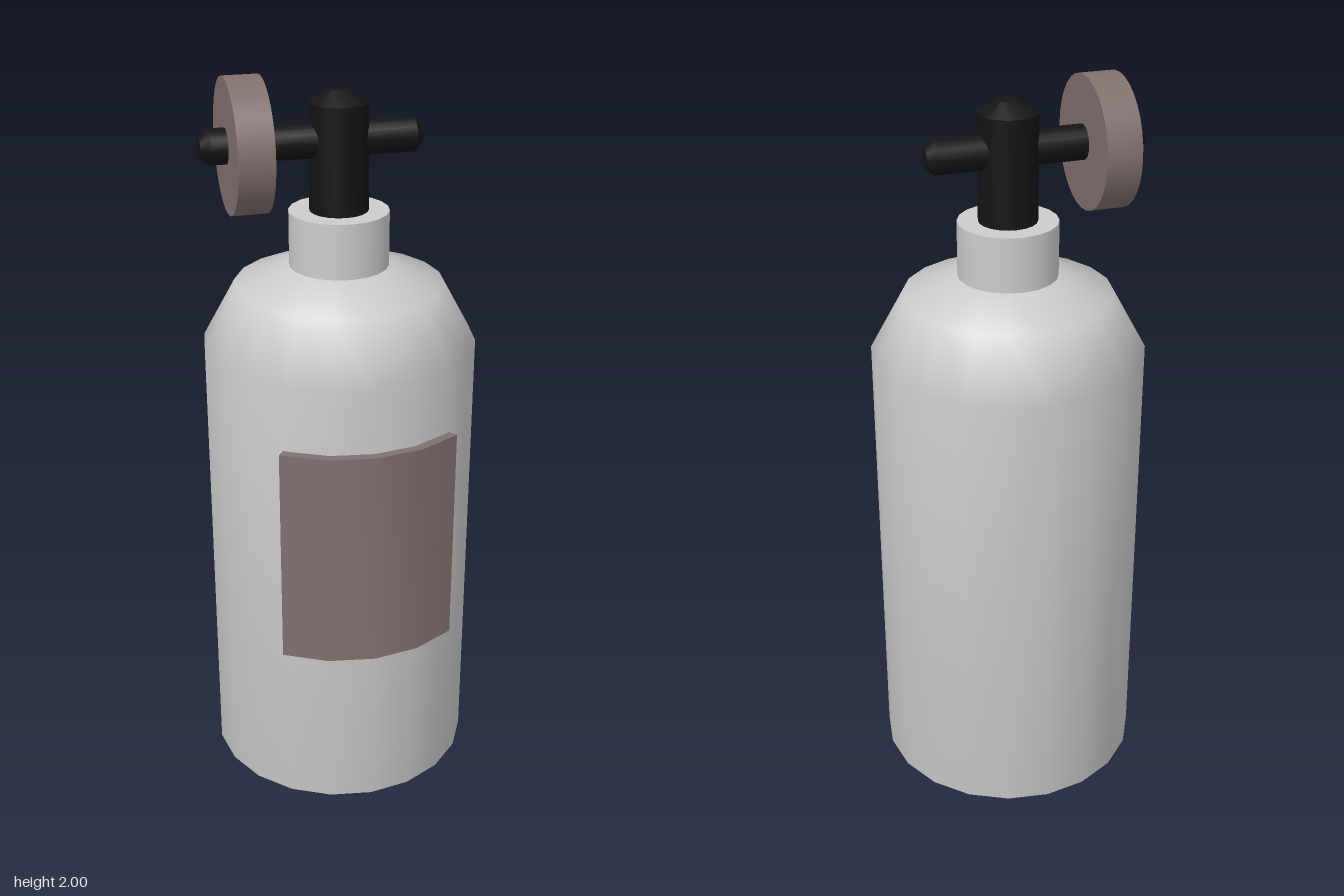
import * as THREE from 'three';
import { toCreasedNormals } from 'three/addons/utils/BufferGeometryUtils.js';

const AXIS_Z = -0.013; // the tank axis sits slightly behind the centre
const VALVE_Y = 1.835;

const grey = new THREE.MeshStandardMaterial({ color: 0xcccccc });
const black = new THREE.MeshStandardMaterial({ color: 0x141414 });
const brown = new THREE.MeshStandardMaterial({ color: 0x80706e });

// Turned part from [radius, height] pairs, listed bottom to top
function turned(profile, sides = 20) {
  return new THREE.LatheGeometry(profile.map(([r, y]) => new THREE.Vector2(r, y)), sides);
}

export function createModel() {
  const model = new THREE.Group();
  model.name = 'gasCylinder';
  const add = (name, geometry, material) => {
    const mesh = new THREE.Mesh(geometry, material);
    mesh.name = name;
    model.add(mesh);
    return mesh;
  };

  // Tank: smooth body with sloped shoulder and a flat base
  add('tankBody', turned([
    [0.2, 0], [0.355, 0.085], [0.355, 1.31], [0.27, 1.465], [0.128, 1.512],
  ]), grey);
  add('tankBase', new THREE.CircleGeometry(0.2, 20).rotateX(Math.PI / 2), grey);

  // Neck collar
  add('neck', new THREE.CylinderGeometry(0.128, 0.128, 0.165, 20).translate(0, 1.5725, 0), grey);

  // Valve stem with chamfered top
  add('valveStem', toCreasedNormals(turned([
    [0, 1.64], [0.075, 1.64], [0.075, 1.927], [0.024, 1.957], [0, 1.957],
  ]), 0.5), black);

  // Cross bar with chamfered ends, lying along x
  const bar = turned([
    [0, -0.348], [0.024, -0.348], [0.044, -0.325], [0.044, 0.19], [0.024, 0.21], [0, 0.21],
  ]).rotateZ(-Math.PI / 2).translate(0, VALVE_Y, 0);
  add('crossBar', toCreasedNormals(bar, 0.5), black);

  // Hand wheel
  const wheel = new THREE.CylinderGeometry(0.167, 0.167, 0.09, 32);
  wheel.rotateZ(Math.PI / 2).translate(-0.238, VALVE_Y - 0.002, 0);
  add('handWheel', wheel, brown);

  // Curved label plate wrapped round the front
  const arc = (radius) => [-2, -1, 0, 1, 2].map((i) => {
    const a = i * 0.325;
    return new THREE.Vector2(radius * Math.sin(a), -radius * Math.cos(a));
  });
  const outline = new THREE.Shape([...arc(0.38), ...arc(0.352).reverse()]);
  const plate = new THREE.ExtrudeGeometry(outline, { depth: 0.59, bevelEnabled: false });
  plate.rotateX(-Math.PI / 2).translate(0, 0.55, 0);
  add('labelPlate', toCreasedNormals(plate, 0.6), brown);

  model.children.forEach((part) => { part.position.z = AXIS_Z; });
  return model;
}
